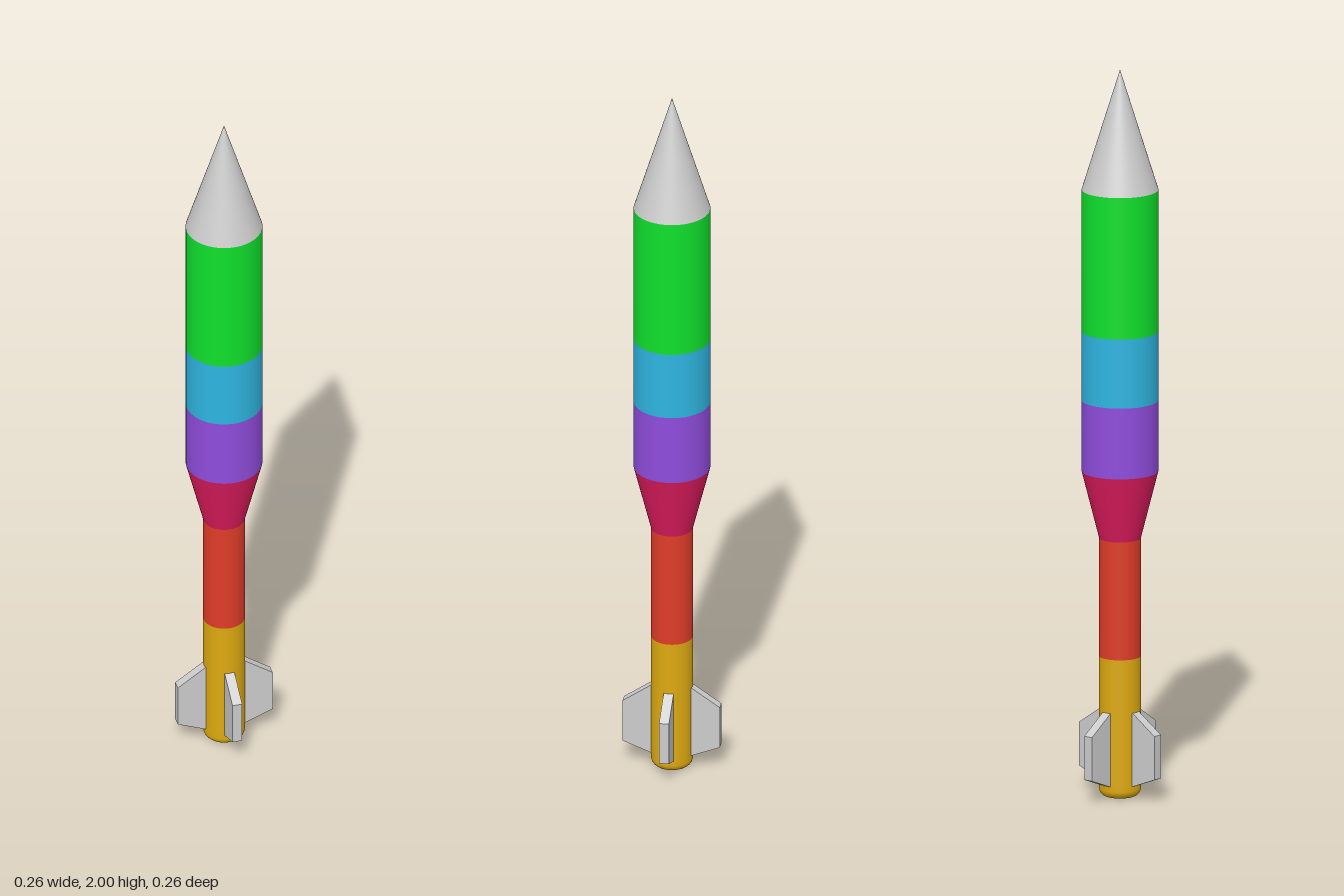
import * as THREE from 'three';

const material = (color) => new THREE.MeshStandardMaterial({ color });
const SIDES = 64;
const R = 0.103; // upper body radius
const r = 0.056; // lower body radius

export function createModel() {
  const group = new THREE.Group();
  const add = (name, geometry, color, y = 0) => {
    const mesh = new THREE.Mesh(geometry, material(color));
    mesh.name = name;
    mesh.position.y = y;
    group.add(mesh);
    return mesh;
  };

  // Stacked body sections: name, bottom y, top y, bottom radius, top radius, colour
  const sections = [
    ['lowerTube', 0.385, 0.71, r, r, 0xdf3c28],
    ['taperedAdapter', 0.71, 0.895, r, R, 0xde1b5c],
    ['lowerBand', 0.895, 1.09, R, R, 0x8e4cdc],
    ['middleBand', 1.09, 1.28, R, R, 0x2eb5e0],
    ['upperBand', 1.28, 1.67, R, R, 0x10e02c],
    ['noseCone', 1.67, 2, R, 0, 0xcccccc],
  ];
  for (const [name, y0, y1, r0, r1, color] of sections) {
    add(name, new THREE.CylinderGeometry(r1, r0, y1 - y0, SIDES, 8, true), color, (y0 + y1) / 2);
  }

  // Tail tube with a rounded lower edge
  const round = 0.022;
  const profile = [];
  for (let i = 0; i <= 6; i++) {
    const a = (i / 6) * Math.PI / 2;
    profile.push(new THREE.Vector2(r - round + round * Math.sin(a), round * (1 - Math.cos(a))));
  }
  profile.push(new THREE.Vector2(r, 0.04), new THREE.Vector2(r, 0.385));
  add('tailTube', new THREE.LatheGeometry(profile, SIDES), 0xdda910);
  add('tailBase', new THREE.CircleGeometry(r - round, SIDES).rotateX(Math.PI / 2), 0xdda910);

  // Four clipped fins
  const thickness = 0.027;
  const fin = new THREE.Shape([
    [0.045, 0.035], [r, 0.035], [0.132, 0.065], [0.132, 0.185], [r, 0.237], [0.045, 0.237],
  ].map(([x, y]) => new THREE.Vector2(x, y)));
  const finGeometry = new THREE.ExtrudeGeometry(fin, { depth: thickness, bevelEnabled: false });
  finGeometry.translate(0, 0, -thickness / 2);
  for (let i = 0; i < 4; i++) {
    add('fin', finGeometry, 0xcccccc).rotation.y = i * Math.PI / 2;
  }
  return group;
}
